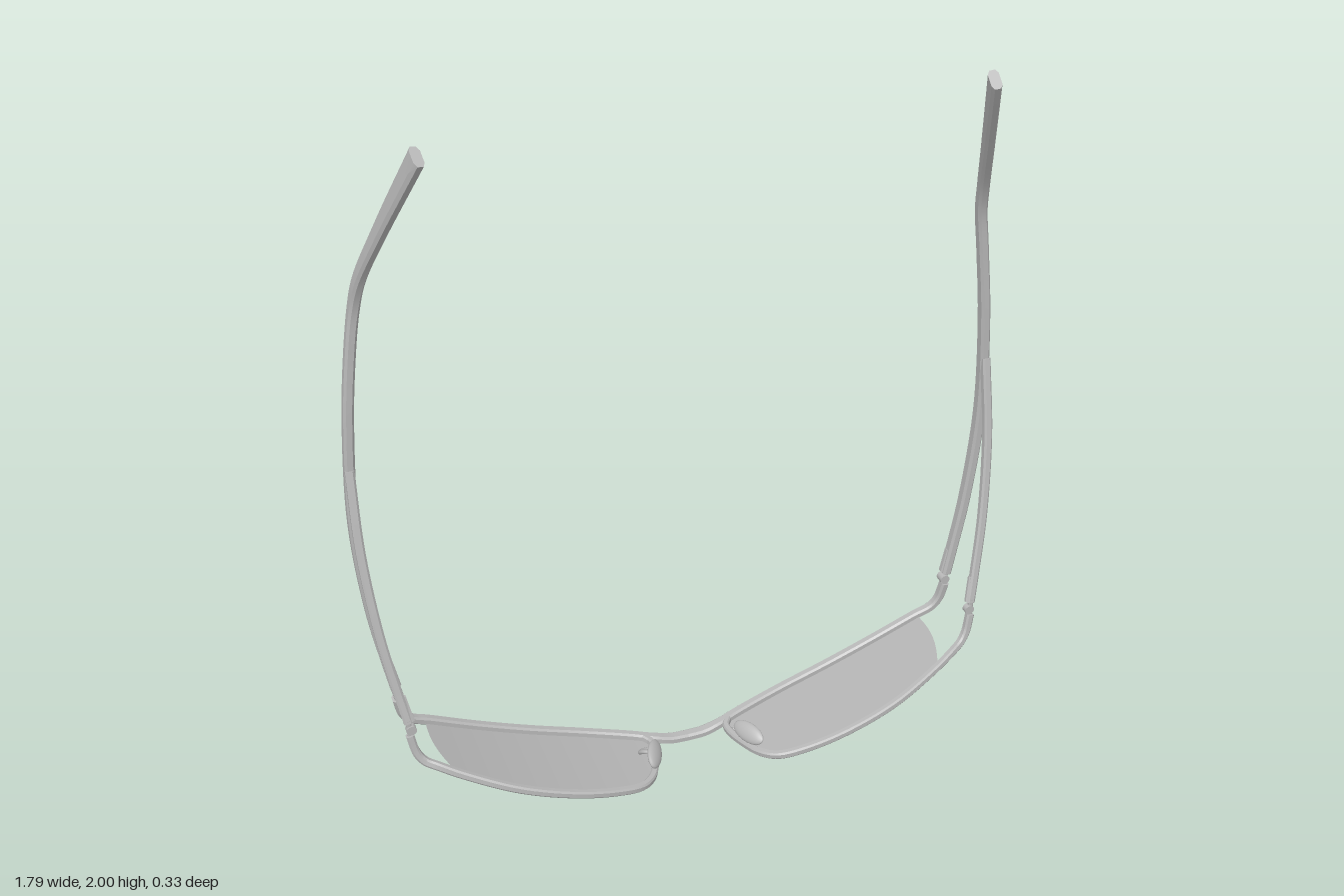
import * as THREE from 'three';
import { toCreasedNormals } from 'three/addons/utils/BufferGeometryUtils.js';

const V = (x, y, z) => new THREE.Vector3(x, y, z);

// Wrap curve of the front: height over x
const wrap = (x) => 0.018 + 0.07 * x + 0.28 * x * x;
const onWrap = ([x, z]) => V(x, wrap(x), z);

// Thickness direction: normal to the front, turning inward along the arms
function thicknessDir(p, tangent) {
  const k = THREE.MathUtils.smoothstep(p.y, 0.2, 0.32);
  const n = V(-(0.07 + 0.56 * p.x) * Math.min(1, p.x / 0.1), 1, 0).normalize().lerp(V(-1, 0.15, 0), k);
  return n.addScaledVector(tangent, -n.dot(tangent)).normalize();
}

// Sweep a chamfered rectangle along points; widths are spread evenly over the path
function sweep(points, widths, thick, steps) {
  const curve = new THREE.CatmullRomCurve3(points, false, 'centripetal');
  const section = [[1, -0.6], [1, 0.6], [0.55, 1], [-0.55, 1], [-1, 0.6], [-1, -0.6], [-0.55, -1], [0.55, -1]];
  const m = section.length, pos = [], idx = [];
  for (let i = 0; i <= steps; i++) {
    const t = i / steps, p = curve.getPoint(t), T = curve.getTangent(t);
    const N = thicknessDir(p, T), B = T.clone().cross(N);
    const s = t * (widths.length - 1), a = Math.min(Math.floor(s), widths.length - 2);
    const w = widths.length > 1 ? THREE.MathUtils.lerp(widths[a], widths[a + 1], s - a) : widths[0];
    for (const [n, b] of section) {
      const q = p.clone().addScaledVector(N, n * thick / 2).addScaledVector(B, b * w / 2);
      pos.push(q.x, q.y, q.z);
    }
  }
  for (let i = 0; i < steps; i++) {
    for (let j = 0; j < m; j++) {
      const a = i * m + j, b = i * m + (j + 1) % m;
      idx.push(a, b, a + m, b, b + m, a + m);
    }
  }
  const e = steps * m;
  for (let j = 1; j < m - 1; j++) idx.push(0, j + 1, j, e, e + j, e + j + 1);
  const g = new THREE.BufferGeometry();
  g.setAttribute('position', new THREE.Float32BufferAttribute(pos, 3));
  g.setIndex(idx);
  return toCreasedNormals(g, 0.5);
}

// Lens: ruled grid between a top and a bottom edge, bent onto the wrap curve
function lensGeometry(top, bottom) {
  const spline = (pts) => new THREE.CatmullRomCurve3(pts.map(([x, z]) => V(x, 0, z)));
  const A = spline(top), B = spline(bottom), nu = 28, nv = 10, pos = [], idx = [];
  for (let i = 0; i <= nu; i++) {
    const u = i / nu, a = A.getPoint(u), b = B.getPoint(u);
    for (let j = 0; j <= nv; j++) {
      const v = j / nv, p = a.clone().lerp(b, v);
      p.x += Math.sin(Math.PI * v) * (0.018 * u - 0.012 * (1 - u));
      pos.push(p.x, wrap(p.x) - 0.006, p.z);
      if (i < nu && j < nv) {
        const k = i * (nv + 1) + j;
        idx.push(k, k + 1, k + nv + 1, k + 1, k + nv + 2, k + nv + 1);
      }
    }
  }
  const g = new THREE.BufferGeometry();
  g.setAttribute('position', new THREE.Float32BufferAttribute(pos, 3));
  g.setIndex(idx);
  g.computeVertexNormals();
  return g;
}

// Mirror across x = 0, keeping the faces outward
function mirrored(geometry) {
  const g = geometry.index ? geometry.toNonIndexed() : geometry.clone();
  g.scale(-1, 1, 1);
  const idx = [];
  for (let i = 0; i < g.attributes.position.count; i += 3) idx.push(i, i + 2, i + 1);
  g.setIndex(idx);
  return g;
}

export function createModel() {
  const group = new THREE.Group();
  const frameGrey = new THREE.MeshStandardMaterial({ color: 0xb8b8b8 });
  frameGrey.name = 'frame grey';
  const lensGrey = new THREE.MeshStandardMaterial({ color: 0xb4b4b4, side: THREE.DoubleSide });
  lensGrey.name = 'lens grey';

  const addPair = (name, geometry, material = frameGrey) => {
    [['left', geometry], ['right', mirrored(geometry)]].forEach(([side, g]) => {
      const mesh = new THREE.Mesh(g, material);
      mesh.name = side + name;
      group.add(mesh);
    });
  };

  // Brow bar with half of the bridge, bending up to the upper hinge
  addPair('BrowBar', sweep([
    V(0, 0.012, -0.092), V(0.05, 0.015, -0.092), V(0.1, 0.026, -0.097),
    ...[[0.16, -0.115], [0.3, -0.143], [0.45, -0.154], [0.6, -0.157], [0.73, -0.153]].map(onWrap),
    V(0.782, 0.243, -0.148), V(0.802, 0.27, -0.145), V(0.815, 0.327, -0.138),
  ], [0.034, 0.034, 0.027, 0.026, 0.026, 0.026, 0.026, 0.028, 0.03], 0.023, 64));

  // Lower rim from the nose side round to the lower hinge
  addPair('LowerRim', sweep([
    ...[[0.128, -0.1], [0.113, -0.075], [0.115, -0.04], [0.132, 0.015], [0.16, 0.075], [0.2, 0.112],
      [0.28, 0.129], [0.4, 0.134], [0.55, 0.121], [0.69, 0.083], [0.75, 0.061]].map(onWrap),
    V(0.783, 0.243, 0.045), V(0.802, 0.27, 0.037), V(0.815, 0.327, 0.03),
  ], [0.018, 0.02, 0.02, 0.02, 0.02, 0.022], 0.022, 72));

  // Lenses
  addPair('Lens', lensGeometry(
    [[0.125, -0.098], [0.18, -0.12], [0.3, -0.143], [0.45, -0.154], [0.6, -0.157], [0.74, -0.152]],
    [[0.15, 0.06], [0.2, 0.112], [0.28, 0.129], [0.4, 0.134], [0.55, 0.121], [0.7, 0.08]],
  ), lensGrey);

  // Upper arm with the bent, widening ear tip
  addPair('Arm', sweep([
    V(0.815, 0.365, -0.136), V(0.831, 0.45, -0.137), V(0.859, 0.62, -0.137), V(0.881, 0.9, -0.133),
    V(0.869, 1.2, -0.129), V(0.847, 1.4, -0.126), V(0.829, 1.52, -0.117), V(0.815, 1.6, -0.09),
    V(0.773, 1.75, -0.005), V(0.7, 1.985, 0.14),
  ], [0.034, 0.034, 0.036, 0.038, 0.036, 0.034, 0.034, 0.036, 0.044, 0.056], 0.027, 72));

  // Slim lower strut joining the arm halfway
  addPair('LowerStrut', sweep([
    V(0.815, 0.365, 0.026), V(0.831, 0.45, 0.008), V(0.859, 0.62, -0.026),
    V(0.879, 0.85, -0.073), V(0.879, 1.07, -0.12),
  ], [0.02, 0.021, 0.024, 0.026], 0.024, 32));

  // Hinges: a barrel and pin, with a short sleeve at the foot of each arm
  [[-0.137, 0.028], [0.029, 0.018]].forEach(([z, w], i) => {
    const level = i ? 'Lower' : 'Upper';
    const barrel = new THREE.CylinderGeometry(0.014, 0.014, w, 16);
    barrel.rotateX(Math.PI / 2).translate(0.81, 0.345, z);
    addPair(level + 'HingeBarrel', barrel);
    addPair(level + 'HingePin', sweep([V(0.813, 0.315, z), V(0.816, 0.375, z)], [w * 0.6, w * 0.6], 0.014, 2));
    const slope = i ? -0.018 : 0;
    addPair(level + 'HingeSleeve', sweep(
      [V(0.811, 0.368, z - 0.002), V(0.826, 0.44, z - 0.002 + slope)], [w * 0.75, w * 0.75], 0.026, 2));
  });

  // Nose pads on small bent wires
  const pad = new THREE.SphereGeometry(1, 20, 14);
  pad.scale(0.013, 0.027, 0.057).rotateZ(-0.65).rotateY(0.42).translate(0.14, 0.08, 0.034);
  addPair('NosePad', pad);
  const wire = new THREE.CatmullRomCurve3([
    V(0.118, 0.03, -0.05), V(0.15, 0.04, -0.038), V(0.168, 0.055, -0.015), V(0.163, 0.075, 0.01), V(0.143, 0.08, 0.028),
  ]);
  addPair('NosePadWire', new THREE.TubeGeometry(wire, 20, 0.006, 8));
  return group;
}
